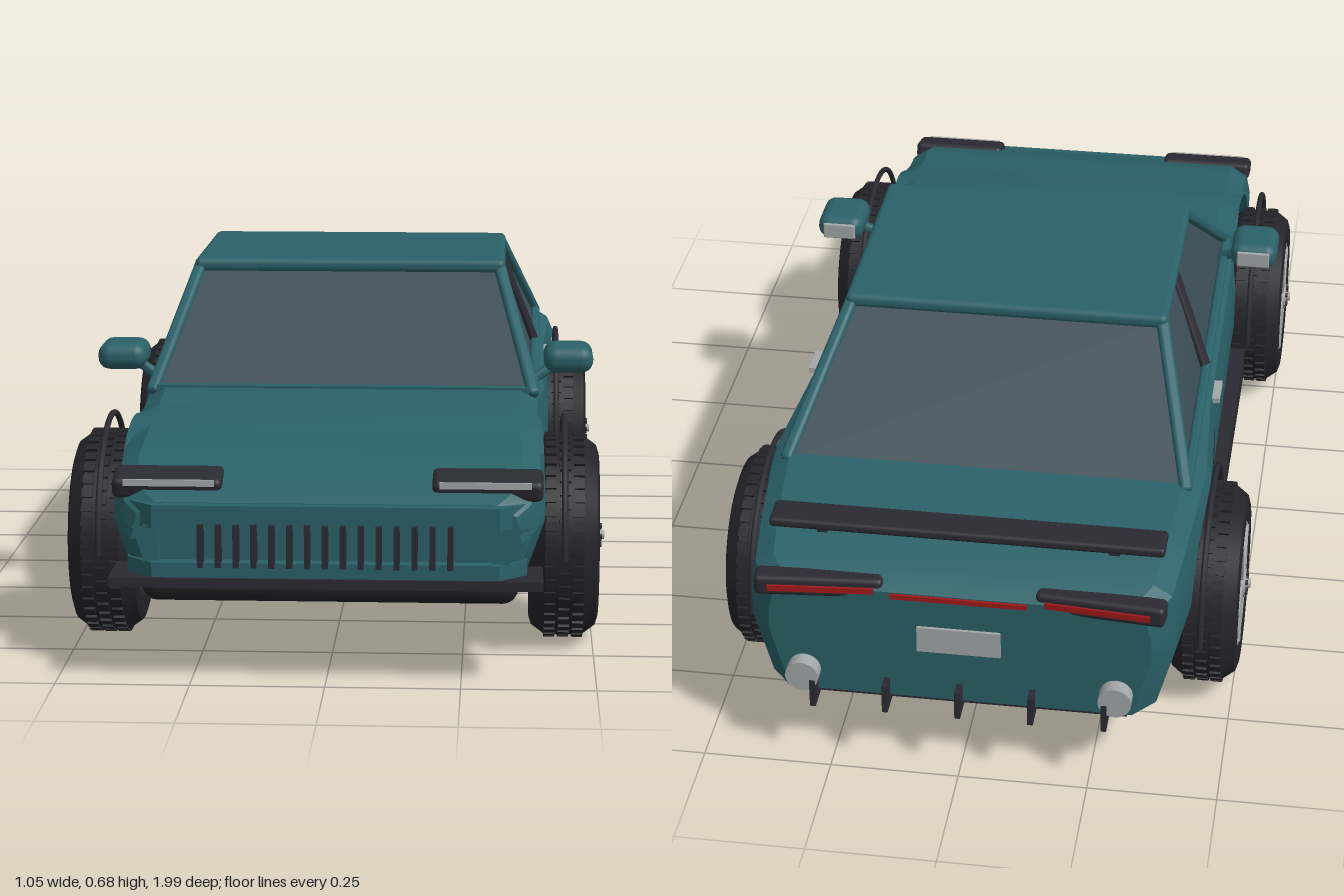
import * as THREE from 'three';
import { mergeGeometries, toCreasedNormals } from 'three/addons/utils/BufferGeometryUtils.js';
import { RoundedBoxGeometry } from 'three/addons/geometries/RoundedBoxGeometry.js';
import { ConvexGeometry } from 'three/addons/geometries/ConvexGeometry.js';

const mat = (name, color) => Object.assign(new THREE.MeshStandardMaterial({ color }), { name });
const M = {
  paint: mat('teal paint', 0x2a6168),
  trim: mat('black trim', 0x2b2a32),
  tyre: mat('tyre rubber', 0x242328),
  floor: mat('underfloor black', 0x222226),
  glass: mat('tinted glass', 0x3c4d57),
  slate: mat('wheel slate', 0x3a5560),
  silver: mat('silver', 0xa3a7a8),
  red: mat('tail red', 0xa01a1a),
};

const AXLES = [0.58, -0.565], ARCH = 0.229, WHEEL_Y = 0.2;
const V = (x, y, z) => new THREE.Vector3(x, y, z);

function add(parent, name, geo, material, x = 0, y = 0, z = 0) {
  const m = new THREE.Mesh(geo, material);
  m.name = name;
  m.position.set(x, y, z);
  parent.add(m);
  return m;
}
const box = (p, n, m, w, h, d, x, y, z) => add(p, n, new THREE.BoxGeometry(w, h, d), m, x, y, z);
const round = (p, n, m, w, h, d, r, x, y, z) => add(p, n, new RoundedBoxGeometry(w, h, d, 3, r), m, x, y, z);

// bar between two points
function bar(p, n, m, a, b, w, d) {
  const mesh = round(p, n, m, w, d, a.distanceTo(b) + w, Math.min(w, d) * 0.4, 0, 0, 0);
  mesh.position.copy(a).add(b).multiplyScalar(0.5);
  mesh.lookAt(b);
  return mesh;
}

// z, half width, top height
const PROFILE = [
  [0.955, 0.36, 0.335], [0.93, 0.385, 0.352], [0.88, 0.402, 0.375], [0.8, 0.405, 0.402],
  [0.58, 0.398, 0.44], [0.39, 0.402, 0.455], [0.28, 0.415, 0.457], [-0.3, 0.421, 0.468],
  [-0.565, 0.436, 0.474], [-0.65, 0.432, 0.472], [-0.8, 0.42, 0.456], [-0.92, 0.407, 0.432],
  [-0.968, 0.365, 0.4],
];
function at(z) {
  let i = 0;
  while (i < PROFILE.length - 2 && PROFILE[i + 1][0] > z) i++;
  const [a, b] = [PROFILE[i], PROFILE[i + 1]];
  const t = THREE.MathUtils.clamp((z - a[0]) / (b[0] - a[0]), 0, 1);
  return [a[1] + (b[1] - a[1]) * t, a[2] + (b[2] - a[2]) * t];
}

// body shell lofted front to back, its lower edge following the wheel arches
function bodyGeometry() {
  const bottom = z => (z > 0.7 ? 0.19 : 0.16);
  const stations = PROFILE.map(p => [p[0], bottom(p[0])])
    .filter(s => AXLES.every(c => Math.abs(s[0] - c) > ARCH));
  for (const c of AXLES) {
    stations.push([c + ARCH + 0.0005, bottom(c + ARCH)], [c - ARCH - 0.0005, 0.16]);
    for (let i = 0; i <= 20; i++) {
      const a = Math.PI * i / 20;
      stations.push([c + ARCH * Math.cos(a), WHEEL_Y + ARCH * Math.sin(a)]);
    }
  }
  stations.sort((a, b) => b[0] - a[0]);
  const pos = [], idx = [], N = 10;
  for (const [z, low] of stations) {
    const [w, top] = at(z);
    const half = [[w - 0.045, top], [w - 0.01, top - 0.022], [w, top - 0.07], [w, 0.29], [w - 0.035, low]]
      .map(([x, y]) => [x, Math.max(y, low)]);
    const ring = [...half, ...half.slice().reverse().map(([x, y]) => [-x, y])];
    ring.forEach(([x, y]) => pos.push(x, y, z));
  }
  const last = (stations.length - 1) * N;
  for (let s = 0; s < last; s += N) for (let j = 0; j < N; j++) {
    const k = (j + 1) % N;
    idx.push(s + j, s + k, s + N + k, s + j, s + N + k, s + N + j);
  }
  for (let j = 1; j < N - 1; j++) idx.push(0, j + 1, j, last, last + j, last + j + 1);
  const g = new THREE.BufferGeometry();
  g.setAttribute('position', new THREE.Float32BufferAttribute(pos, 3));
  g.setIndex(idx);
  return toCreasedNormals(g, 0.4);
}

// slab with chamfered front corners: half width, front z, height range
function noseSlab(p, name, m, w, front, back, y0, y1, cut) {
  const s = new THREE.Shape([[-w, -back], [w, -back], [w, -front + cut], [w - cut, -front], [cut - w, -front], [-w, -front + cut]]
    .map(([x, y]) => new THREE.Vector2(x, y)));
  const g = new THREE.ExtrudeGeometry(s, { depth: y1 - y0, bevelEnabled: false });
  g.rotateX(-Math.PI / 2);
  add(p, name, g, m, 0, y0, 0);
}

// wheel built around the y axis with its outer face at +y
function wheel(name, x, z, side) {
  const w = new THREE.Group();
  w.name = name;
  const pts = [[0.125, -0.05], [0.13, -0.062], [0.16, -0.067], [0.176, -0.062], [0.195, -0.036],
    [0.195, 0.036], [0.176, 0.062], [0.16, 0.067], [0.13, 0.062], [0.123, 0.03]].map(p => new THREE.Vector2(...p));
  add(w, 'tyre', toCreasedNormals(new THREE.LatheGeometry(pts, 48), 0.5), M.tyre);
  const blocks = [];
  for (let i = 0; i < 44; i++) for (const [k, y] of [-0.027, 0, 0.027].entries()) {
    const b = new THREE.BoxGeometry(0.01, 0.021, 0.018);
    b.translate(0.195, y, 0);
    b.rotateY((i + (k % 2) / 2) * Math.PI * 2 / 44);
    blocks.push(b);
  }
  add(w, 'tread', mergeGeometries(blocks), M.tyre);
  add(w, 'rimDisc', new THREE.CylinderGeometry(0.126, 0.126, 0.08, 40), M.slate, 0, 0.002, 0);
  add(w, 'rimRing', new THREE.TorusGeometry(0.122, 0.006, 8, 48).rotateX(Math.PI / 2), M.silver, 0, 0.058, 0);
  const spokes = [], bolts = [];
  for (let i = 0; i < 5; i++) {
    const a = Math.PI / 2 + i * Math.PI * 2 / 5;
    for (const s of [-1, 1]) {
      const b = new THREE.BoxGeometry(0.102, 0.02, 0.011);
      b.translate(0.07, 0.056, 0);
      b.rotateY(s * 0.05);
      b.translate(0, 0, s * 0.009);
      spokes.push(b.rotateY(a));
    }
    bolts.push(new THREE.CylinderGeometry(0.005, 0.005, 0.008, 8).translate(0.02, 0.071, 0).rotateY(a + 0.6));
  }
  add(w, 'spokes', mergeGeometries(spokes), M.silver);
  add(w, 'bolts', mergeGeometries(bolts), M.trim);
  add(w, 'hub', new THREE.CylinderGeometry(0.028, 0.032, 0.03, 24), M.silver, 0, 0.055, 0);
  add(w, 'hubCap', new THREE.CylinderGeometry(0.009, 0.01, 0.014, 16), M.silver, 0, 0.073, 0);
  w.rotation.z = -side * Math.PI / 2;
  w.position.set(x * side, WHEEL_Y, z);
  return w;
}

export function createModel() {
  const car = new THREE.Group();
  car.name = 'sportsCar';
  add(car, 'bodyShell', bodyGeometry(), M.paint);

  // underside
  round(car, 'underfloor', M.floor, 0.71, 0.065, 1.71, 0.03, 0, 0.155, 0.012);
  box(car, 'splitter', M.trim, 0.8, 0.018, 0.13, 0, 0.191, 0.925);

  // nose with grille slot
  noseSlab(car, 'lowerBumper', M.paint, 0.37, 0.983, 0.85, 0.2, 0.228, 0.05);
  noseSlab(car, 'upperBumper', M.paint, 0.37, 0.978, 0.9, 0.29, 0.334, 0.05);
  for (const s of [-1, 1]) box(car, 'grilleEnd', M.paint, 0.03, 0.07, 0.05, s * 0.322, 0.26, 0.945);
  for (let i = 0; i < 15; i++) box(car, 'grilleBar', M.trim, 0.011, 0.08, 0.025, (i - 7) * 0.0328, 0.26, 0.978);

  // cabin glass, roof and pillars
  const corners = [];
  for (const s of [-1, 1]) corners.push(V(s * 0.375, 0.448, 0.39), V(s * 0.39, 0.465, -0.645),
    V(s * 0.308, 0.662, 0.105), V(s * 0.308, 0.662, -0.35));
  add(car, 'cabinGlass', new ConvexGeometry(corners), M.glass);
  round(car, 'roof', M.paint, 0.65, 0.03, 0.485, 0.013, 0, 0.666, -0.122);
  box(car, 'cowl', M.paint, 0.75, 0.012, 0.025, 0, 0.453, 0.39);

  for (const s of [-1, 1]) {
    bar(car, 'frontPillar', M.paint, V(s * 0.314, 0.66, 0.105), V(s * 0.382, 0.45, 0.385), 0.026, 0.024);
    bar(car, 'rearPillar', M.paint, V(s * 0.314, 0.66, -0.35), V(s * 0.392, 0.468, -0.635), 0.026, 0.024);
    bar(car, 'centrePillar', M.trim, V(s * 0.318, 0.645, -0.145), V(s * 0.384, 0.475, -0.182), 0.026, 0.02);
    bar(car, 'windowSill', M.paint, V(s * 0.385, 0.455, 0.36), V(s * 0.395, 0.47, -0.62), 0.02, 0.02);

    // doors
    box(car, 'sideSkirt', M.trim, 0.06, 0.065, 0.68, s * 0.408, 0.163, 0);
    box(car, 'doorSeam', M.trim, 0.004, 0.11, 0.005, s * 0.421, 0.345, -0.318);
    box(car, 'doorHandle', M.silver, 0.02, 0.011, 0.07, s * 0.417, 0.437, -0.235);

    // mirrors
    round(car, 'mirror', M.paint, 0.1, 0.055, 0.12, 0.025, s * 0.455, 0.502, 0.268);
    round(car, 'mirrorGlass', M.silver, 0.07, 0.034, 0.008, 0.003, s * 0.455, 0.502, 0.207);
    bar(car, 'mirrorStalk', M.paint, V(s * 0.385, 0.46, 0.29), V(s * 0.43, 0.49, 0.275), 0.02, 0.02);

    // head lamps and tail lamps
    const lamp = round(car, 'headLamp', M.trim, 0.205, 0.04, 0.075, 0.012, s * 0.297, 0.361, 0.892);
    lamp.rotation.x = 0.25;
    box(car, 'headLampStrip', M.silver, 0.17, 0.012, 0.008, s * 0.293, 0.366, 0.928);
    const tail = round(car, 'tailLamp', M.trim, 0.245, 0.042, 0.045, 0.01, s * 0.268, 0.398, -0.95);
    tail.rotation.y = s * 0.08;
    const strip = box(car, 'tailLampStrip', M.red, 0.2, 0.012, 0.006, s * 0.262, 0.398, -0.974);
    strip.rotation.y = s * 0.08;

    // exhausts
    const pipe = new THREE.CylinderGeometry(0.032, 0.032, 0.08, 24).rotateX(Math.PI / 2);
    add(car, 'exhaust', pipe, M.silver, s * 0.3, 0.207, -0.958);
    box(car, 'spoilerFoot', M.trim, 0.02, 0.04, 0.04, s * 0.28, 0.45, -0.835);

    // wheels and arch trims
    AXLES.forEach((z, i) => {
      car.add(wheel(i ? 'rearWheel' : 'frontWheel', 0.443, z, s));
      const arc = new THREE.TorusGeometry(0.231, 0.006, 8, 40, Math.PI).rotateY(Math.PI / 2);
      add(car, 'archTrim', arc, M.trim, s * 0.442, WHEEL_Y, z);
    });
  }
  for (const z of AXLES) {
    add(car, 'axle', new THREE.CylinderGeometry(0.02, 0.02, 0.8, 12).rotateZ(Math.PI / 2), M.floor, 0, WHEEL_Y, z);
  }

  // tail
  round(car, 'spoiler', M.trim, 0.755, 0.02, 0.07, 0.008, 0, 0.474, -0.845);
  box(car, 'tailLightBar', M.red, 0.26, 0.01, 0.008, 0, 0.393, -0.969);
  box(car, 'numberPlate', M.silver, 0.16, 0.055, 0.008, 0, 0.3, -0.97);
  box(car, 'diffuser', M.trim, 0.64, 0.025, 0.12, 0, 0.158, -0.895);
  for (let i = -2; i <= 2; i++) box(car, 'diffuserFin', M.trim, 0.011, 0.06, 0.14, i * 0.14, 0.17, -0.93);
  return car;
}
